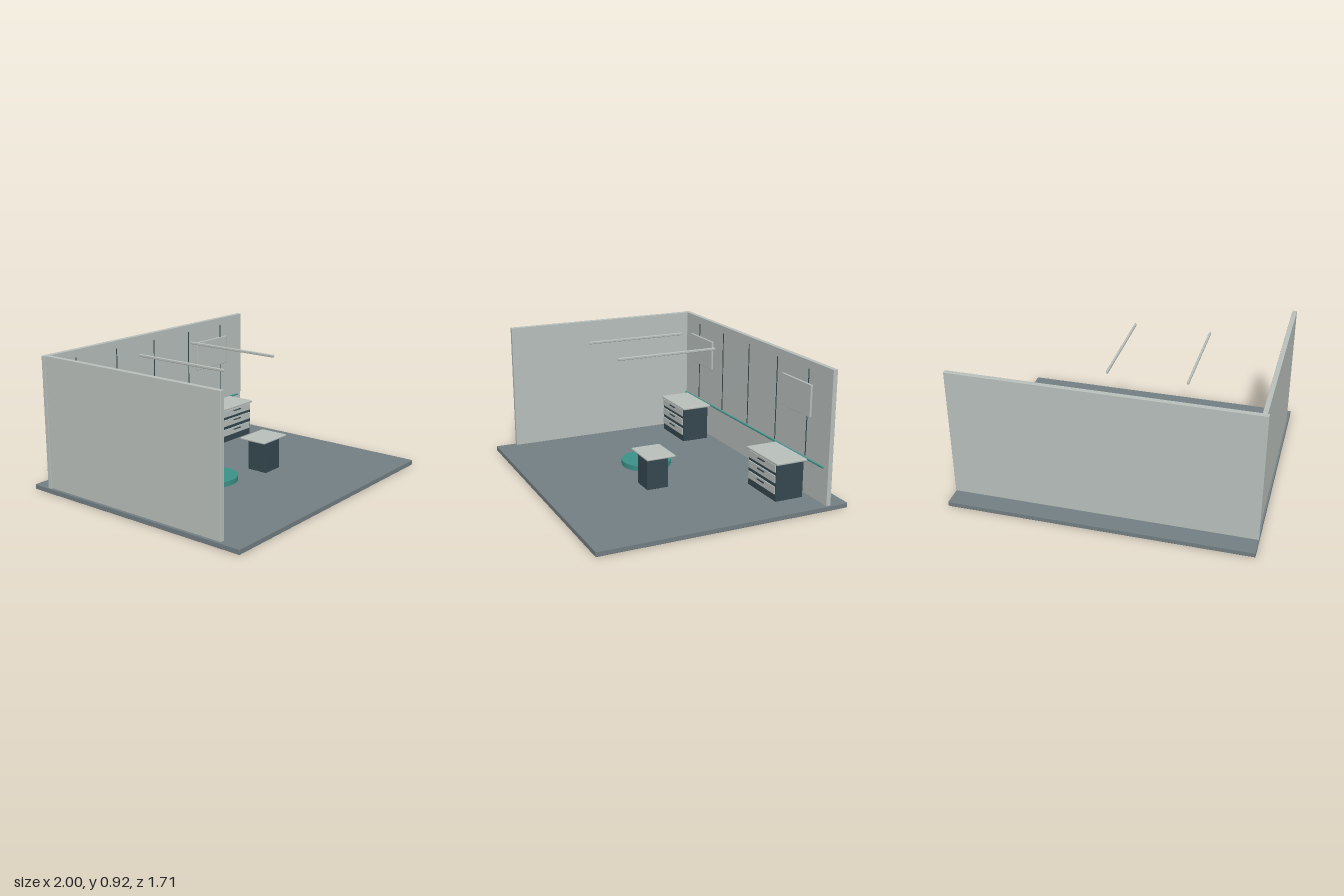
import * as THREE from 'three';
import { RoundedBoxGeometry } from 'three/addons/geometries/RoundedBoxGeometry.js';

const material = (name, color) => {
  const m = new THREE.MeshStandardMaterial({ color });
  m.name = name;
  return m;
};

export function createModel() {
  const pale = material('pale grey', 0xb8bfbb);
  const floorGrey = material('floor grey', 0x727e82);
  const dark = material('dark slate', 0x34474e);
  const teal = material('teal', 0x3a9188);
  const model = new THREE.Group();
  model.name = 'exhibitionRoom';

  // Box given by its limits on each axis, optionally with rounded edges
  const box = (name, mat, [x0, x1], [y0, y1], [z0, z1], radius = 0, parent = model) => {
    const size = [x1 - x0, y1 - y0, z1 - z0];
    const geometry = radius
      ? new RoundedBoxGeometry(...size, 2, radius)
      : new THREE.BoxGeometry(...size);
    const mesh = new THREE.Mesh(geometry, mat);
    mesh.name = name;
    mesh.position.set((x0 + x1) / 2, (y0 + y1) / 2, (z0 + z1) / 2);
    parent.add(mesh);
    return mesh;
  };

  // Floor and the two walls
  const base = 0.034;
  box('floor', floorGrey, [-1, 1], [0, base], [-0.856, 0.856], 0.004);
  box('backWall', pale, [-1, 1], [base, 0.92], [-0.728, -0.697], 0.003);
  box('sideWall', pale, [-0.988, -0.957], [base, 0.92], [-0.697, 0.714], 0.003);

  // Thin seams and long rail on the back wall
  for (let i = -2; i <= 2; i++) {
    const x = i * 0.371;
    box('wallSeam', dark, [x - 0.002, x + 0.002], [0.29, 0.866], [-0.698, -0.692]);
  }
  box('wallRail', teal, [-0.957, 0.955], [0.273, 0.284], [-0.697, -0.684], 0.003);

  // Drawer cabinets, each with a screen above it
  for (const x of [-0.685, 0.627]) {
    const cabinet = new THREE.Group();
    cabinet.name = 'drawerCabinet';
    cabinet.position.x = x;
    model.add(cabinet);
    box('cabinetBody', dark, [-0.173, 0.173], [base, 0.282], [-0.648, -0.447], 0.003, cabinet);
    box('cabinetTop', pale, [-0.19, 0.19], [0.281, 0.298], [-0.663, -0.438], 0.006, cabinet);
    for (const y of [0.254, 0.183, 0.108]) {
      box('drawerFront', pale, [-0.165, 0.165], [y - 0.026, y + 0.026], [-0.449, -0.441], 0.003, cabinet);
      box('drawerHandle', dark, [-0.04, 0.04], [y + 0.007, y + 0.013], [-0.442, -0.432], 0, cabinet);
    }
    box('wallScreen', pale, [-0.171, 0.171], [0.563, 0.776], [-0.692, -0.677], 0.004, cabinet);
  }

  // Small pedestal table
  box('tableBody', dark, [0.122, 0.276], [base, 0.256], [0.057, 0.208], 0.003);
  box('tableTop', pale, [0.07, 0.327], [0.253, 0.268], [0.025, 0.231], 0.006);

  // Round platform
  const platform = new THREE.Mesh(new THREE.CylinderGeometry(0.173, 0.173, 0.036, 64), teal);
  platform.name = 'roundPlatform';
  platform.position.set(-0.201, 0.051, 0);
  model.add(platform);

  // Suspended light bars
  for (const x of [-0.46, 0.055]) {
    box('lightBar', pale, [x - 0.007, x + 0.007], [0.867, 0.885], [-0.397, 0.313], 0.005);
  }
  return model;
}
